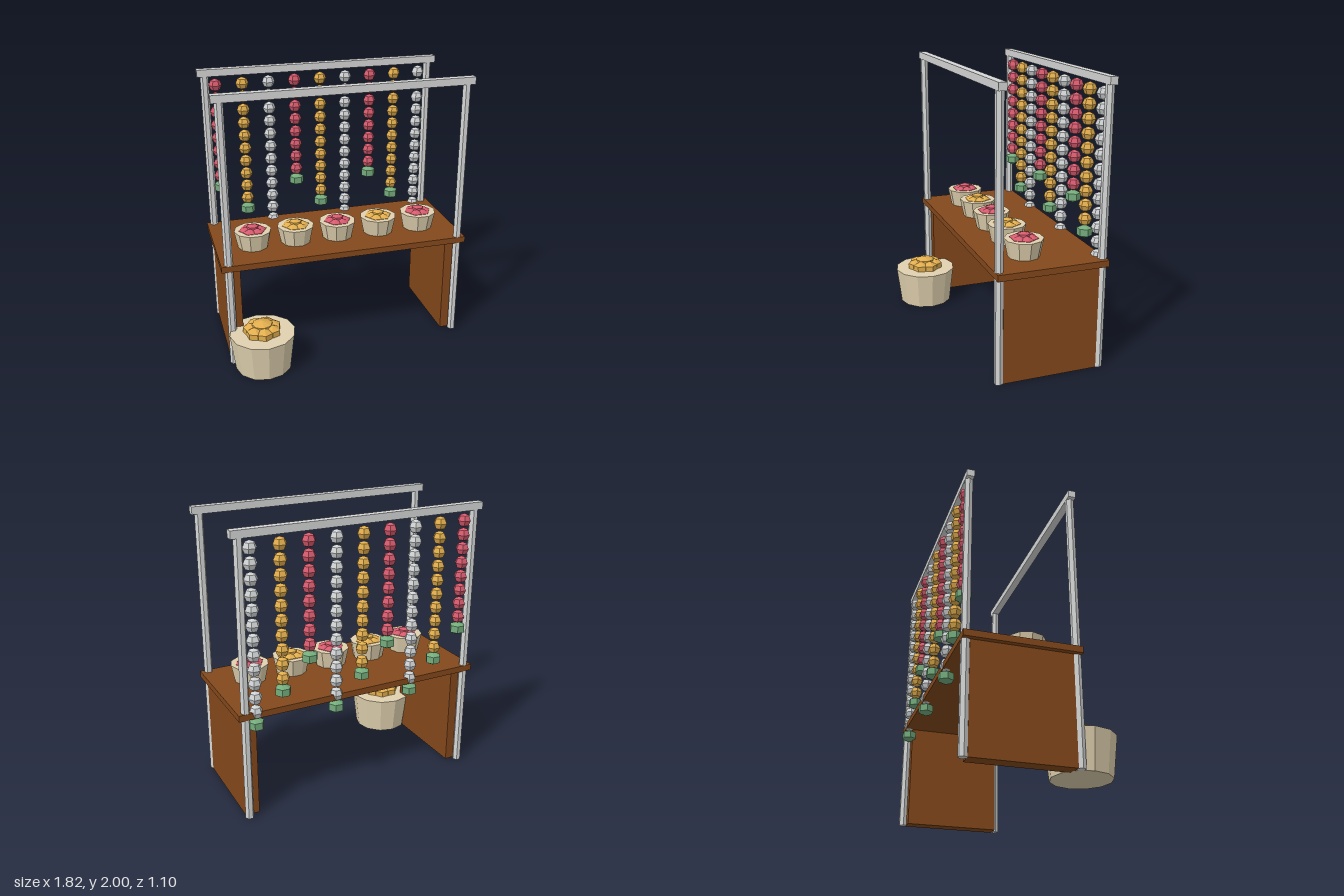
import * as THREE from 'three';

const mat = (name, color) => {
  const m = new THREE.MeshStandardMaterial({ color, flatShading: true });
  m.name = name;
  return m;
};

export function createModel() {
  const model = new THREE.Group();
  model.name = 'garlandStall';

  const wood = mat('brown wood', 0x84481b);
  const metal = mat('grey metal', 0xd6d7d7);
  const silver = mat('silver beads', 0xd0d3d4);
  const red = mat('rose red', 0xd65b6e);
  const yellow = mat('marigold yellow', 0xe2ae4e);
  const green = mat('leaf green', 0x74ac7c);
  const wicker = mat('beige wicker', 0xe0d1af);

  const add = (name, geo, material, x, y, z, parent = model) => {
    const mesh = new THREE.Mesh(geo, material);
    mesh.name = name;
    mesh.position.set(x, y, z);
    parent.add(mesh);
    return mesh;
  };

  const frontZ = 0.226, backZ = -0.504;

  // Table: top and two thick side panels standing between the posts
  add('tableTop', new THREE.BoxGeometry(1.82, 0.045, 0.785), wood, 0, 0.771, -0.139);
  for (const s of [-1, 1]) {
    add('sidePanel', new THREE.BoxGeometry(0.1, 0.75, 0.68), wood, s * 0.824, 0.375, -0.139);
  }

  // Two frames of hexagonal posts with a beam on top
  const postGeo = new THREE.CylinderGeometry(0.03, 0.03, 1.95, 6).rotateY(Math.PI / 6);
  for (const z of [frontZ, backZ]) {
    add('topBeam', new THREE.BoxGeometry(1.82, 0.052, 0.054), metal, 0, 1.974, z);
    for (const s of [-1, 1]) add('post', postGeo, metal, s * 0.856, 0.975, z);
  }

  // Hanging strands of beads, each ending in a green pendant
  const beadGeo = new THREE.SphereGeometry(0.048, 6, 4);
  const pendantGeo = new THREE.SphereGeometry(0.0625, 6, 3).scale(1, 0.8, 1);
  const kinds = [[red, 8], [yellow, 10], [silver, 12]];
  for (let i = 0; i < 9; i++) {
    const [material, count] = kinds[i % 3];
    const strand = new THREE.Group();
    strand.name = 'beadStrand';
    strand.position.set((i - 4) * 0.1955, 0, backZ);
    model.add(strand);
    for (let k = 0; k < count; k++) add('bead', beadGeo, material, 0, 1.88 - k * 0.0995, 0, strand);
    add('pendant', pendantGeo, green, 0, 1.895 - count * 0.1, 0, strand);
  }

  // Basket filled with a raised middle flower and a ring of flowers around it
  const basket = (name, x, y, z, o) => {
    const g = new THREE.Group();
    g.name = name;
    g.position.set(x, y, z);
    model.add(g);
    const tub = new THREE.CylinderGeometry(o.top, o.bottom, o.height, o.sides).rotateY(o.turn);
    add('tub', tub, wicker, 0, o.height / 2, 0, g);
    const middle = new THREE.SphereGeometry(o.middle, o.flowerSides, 3).scale(1, 0.55, 1);
    add('middleFlower', middle, o.material, 0, o.middleY, 0, g);
    const flower = new THREE.SphereGeometry(o.flower, 6, 3).scale(1, 0.9, 1);
    for (let i = 0; i < o.ring; i++) {
      const a = o.start + (i / o.ring) * Math.PI * 2;
      const m = add('ringFlower', flower, o.material, Math.cos(a) * o.spread, o.flowerY, Math.sin(a) * o.spread, g);
      m.rotation.y = -a;
    }
  };

  // Row of small baskets on the table
  for (let i = 0; i < 5; i++) {
    basket('smallBasket', (i - 2) * 0.318, 0.79, -0.033, {
      top: 0.136, bottom: 0.109, height: 0.13, sides: 10, turn: Math.PI / 2,
      middle: 0.051, flowerSides: 6, middleY: 0.147,
      flower: 0.056, flowerY: 0.108, ring: 6, spread: 0.052, start: 0,
      material: i % 2 ? yellow : red,
    });
  }

  // Large basket on the ground
  basket('largeBasket', -0.655, 0, 0.313, {
    top: 0.236, bottom: 0.202, height: 0.275, sides: 12, turn: 0,
    middle: 0.085, flowerSides: 8, middleY: 0.32,
    flower: 0.067, flowerY: 0.286, ring: 7, spread: 0.08, start: Math.PI / 2,
    material: yellow,
  });

  return model;
}
